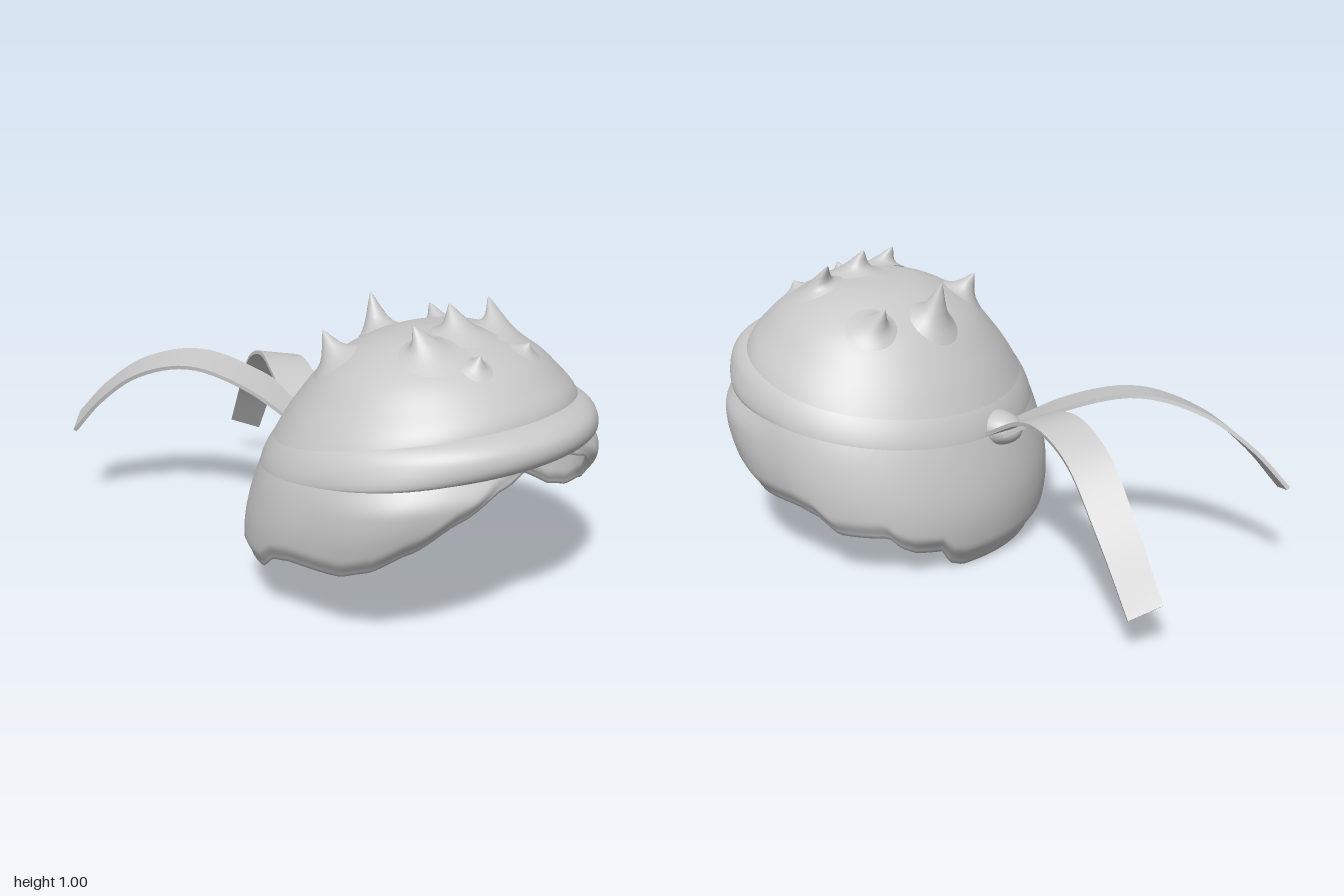
import * as THREE from 'three';
import { mergeVertices } from 'three/addons/utils/BufferGeometryUtils.js';

const V = (x, y, z) => new THREE.Vector3(x, y, z);
const smooth = (a, b, t) => THREE.MathUtils.smoothstep(t, a, b);
const fromBack = a => Math.PI - Math.abs(Math.PI - a);

// Smooth surface from rings: f(u, angle) -> Vector3, closed around the angle
function ringSurface(f, nu, nv) {
  const pos = [], idx = [];
  for (let i = 0; i <= nu; i++)
    for (let j = 0; j < nv; j++) pos.push(...f(i / nu, (j / nv) * Math.PI * 2).toArray());
  for (let i = 0; i < nu; i++)
    for (let j = 0; j < nv; j++) {
      const a = i * nv + j, b = i * nv + ((j + 1) % nv);
      idx.push(a, b, a + nv, b, b + nv, a + nv);
    }
  let g = new THREE.BufferGeometry();
  g.setAttribute('position', new THREE.Float32BufferAttribute(pos, 3));
  g.setIndex(idx);
  g = mergeVertices(g, 1e-5);
  g.computeVertexNormals();
  return g;
}

// Tilted dome sections, crown to nape: back z, back y, front z, front y, half width
const levels = [
  [0.47, 0.925, 0.47, 0.925, 0], [0.30, 0.89, 0.62, 0.915, 0.19],
  [0.15, 0.80, 0.77, 0.86, 0.345], [0.05, 0.68, 0.86, 0.79, 0.44],
  [-0.02, 0.56, 0.915, 0.715, 0.512], [-0.075, 0.43, 0.92, 0.595, 0.565],
  [-0.115, 0.30, 0.91, 0.48, 0.586], [-0.13, 0.20, 0.86, 0.36, 0.582],
  [-0.125, 0.10, 0.80, 0.25, 0.56], [-0.10, -0.02, 0.75, 0.15, 0.52],
];
const backLine = new THREE.CatmullRomCurve3(levels.map(l => V(l[4], l[1], l[0])), false, 'catmullrom');
const frontLine = new THREE.CatmullRomCurve3(levels.map(l => V(0, l[3], l[2])), false, 'catmullrom');

// Point on the dome at level s and angle a (0 = back, PI = front);
// the locks beside the face swell outwards below the band
function dome(s, a, k = 1, grow = 0) {
  const t = Math.min(1, s / (levels.length - 1));
  const b = backLine.getPoint(t), f = frontLine.getPoint(t);
  const c = Math.cos(a);
  const swell = 0.058 * smooth(4.4, 5.6, s) * smooth(1.65, 2.35, fromBack(a));
  return V((b.x * k + grow + swell) * Math.sin(a),
    (b.y + f.y) / 2 - ((f.y - b.y) / 2) * c,
    (b.z + f.z) / 2 - (((f.z - b.z) / 2) * k + grow + swell) * c);
}

// Height of the stepped hairline by angle
const hairline = [[0, 0.004], [0.41, 0.004], [0.52, 0.025], [0.59, 0.085], [0.77, 0.095],
  [0.87, 0.12], [0.96, 0.17], [1.32, 0.175], [1.47, 0.235], [1.62, 0.25], [2.02, 0.25],
  [2.18, 0.28], [2.39, 0.36], [2.59, 0.46], [2.8, 0.545], [3.0, 0.585], [3.15, 0.592]];
function hairlineY(angle) {
  const a = fromBack(angle);
  let i = 0;
  while (i < hairline.length - 2 && hairline[i + 1][0] < a) i++;
  const [p, q] = [hairline[i], hairline[i + 1]];
  return p[1] + (q[1] - p[1]) * smooth(p[0], q[0], a) * 0.5
    + (q[1] - p[1]) * 0.5 * Math.max(0, (a - p[0]) / (q[0] - p[0]));
}
function edgeLevel(a) {
  const y = hairlineY(a);
  let lo = 3, hi = 9;
  for (let i = 0; i < 24; i++) {
    const m = (lo + hi) / 2;
    if (dome(m, a).y > y) lo = m; else hi = m;
  }
  return lo;
}

// Ribbon: swept flat strip, tapering to a slanted end
function ribbon(points, sideSign) {
  const curve = new THREE.CatmullRomCurve3(points.map(p => V(...p)));
  const g = new THREE.BoxGeometry(1, 1, 1, 1, 1, 32);
  const p = g.attributes.position;
  for (let i = 0; i < p.count; i++) {
    const t = 0.5 - p.getZ(i);
    const c = curve.getPoint(t), d = curve.getTangent(t);
    const side = V(-d.z, 0, d.x).normalize();
    side.y = 0.4 * sideSign * t;
    side.z -= 0.35 * sideSign * t;
    const up = side.clone().cross(d).normalize();
    c.addScaledVector(side, p.getX(i) * (0.165 - 0.07 * t));
    c.addScaledVector(up, p.getY(i) * 0.014);
    p.setXYZ(i, c.x, c.y, c.z);
  }
  g.computeVertexNormals();
  return g;
}

// Spike: flared lathe standing on the dome at (s, a), sheared to end at the tip
const spikeProfile = [[1.25, -0.1], [1, 0.01], [0.75, 0.13], [0.52, 0.32], [0.33, 0.56], [0.15, 0.82], [0, 1]];
function spike(s, a, tip, r) {
  const base = dome(s, a), e = 0.01;
  const normal = dome(s, a + e).sub(base).cross(dome(s + e, a).sub(base)).normalize();
  const q = new THREE.Quaternion().setFromUnitVectors(V(0, 1, 0), normal);
  const d = V(...tip).sub(base).applyQuaternion(q.clone().invert());
  const g = new THREE.LatheGeometry(spikeProfile.map(([x, y]) => new THREE.Vector2(x * r, y * d.y)), 24);
  const lean = new THREE.Matrix4().set(1, d.x / d.y, 0, 0, 0, 1, 0, 0, 0, d.z / d.y, 1, 0, 0, 0, 0, 1);
  return g.applyMatrix4(lean).applyQuaternion(q).translate(base.x, base.y, base.z);
}

export function createModel() {
  const model = new THREE.Group();
  const grey = new THREE.MeshStandardMaterial({ color: 0xc8c8c8, side: THREE.DoubleSide });
  grey.name = 'plain grey';
  const add = (name, geometry) => {
    const m = new THREE.Mesh(geometry, grey);
    m.name = name;
    model.add(m);
    return m;
  };

  // Hair shell: outside down to the hairline, rolled under (more at the nape), then back up inside
  const edges = new Map();
  const level = a => {
    if (!edges.has(a)) edges.set(a, edgeLevel(a));
    return edges.get(a);
  };
  add('hairShell', ringSurface((u, a) => {
    const outer = u <= 0.5;
    const t = outer ? u * 2 : 2 - u * 2;
    const nape = 1 - smooth(0.5, 1.1, fromBack(a));
    const curl = 0.035 + 0.035 * nape, lip = 0.03 + 0.055 * nape;
    const k = outer ? 1 - curl * smooth(0.92, 1, t)
      : 0.955 - lip * smooth(0.7, 0.96, t) + (lip + 0.045 - curl) * smooth(0.94, 1, t);
    const p = dome(t * level(a), a, k);
    if (!outer) p.y -= 0.03 * (1 - t);
    return p;
  }, 128, 160));

  // Headband: padded ring, full over the forehead and nearly flush behind
  add('headband', ringSurface((u, a) => {
    const front = Math.pow((1 - Math.cos(a)) / 2, 5);
    const bulge = 0.004 + 0.076 * front;
    const puff = Math.pow(Math.sin(Math.PI * u), 0.6);
    return dome(3.95 + 1.08 * u, a, 1, -0.008 + (bulge + 0.008) * puff);
  }, 18, 128));

  // Spikes: dome level, angle, tip, base radius
  const spikes = [
    [0.78, Math.PI, [0, 1.005, 0.53], 0.088],
    [1.33, -2.36, [-0.19, 0.975, 0.55], 0.085],
    [1.33, 2.36, [0.195, 0.99, 0.53], 0.085],
    [1.9, -2.79, [-0.11, 0.905, 0.75], 0.045],
    [1.9, 2.72, [0.14, 0.89, 0.745], 0.045],
    [1.8, 0.17, [0.05, 0.96, 0.145], 0.08],
    [1.85, -0.92, [-0.26, 0.91, 0.23], 0.072],
    [1.85, 0.92, [0.255, 0.9, 0.23], 0.072],
  ];
  for (const [s, a, tip, r] of spikes) add('spike', spike(s, (a + Math.PI * 2) % (Math.PI * 2), tip, r));

  // Knot at the back, passing through to the inside
  const knot = add('knot', new THREE.SphereGeometry(1, 28, 20));
  knot.scale.set(0.074, 0.06, 0.098);
  knot.position.set(0, 0.46, -0.048);

  // Inner band ends meeting in a V around the knot, leaning with the wall
  for (const s of [-1, 1]) {
    const g = new THREE.BoxGeometry(0.33, 0.13, 0.008);
    const p = g.attributes.position;
    for (let i = 0; i < p.count; i++) {
      const x = p.getX(i) + s * 0.165, h = p.getY(i) + 0.065;
      const y = 0.39 + h + 0.19 * Math.abs(x);
      p.setXYZ(i, x, y, p.getZ(i) - 0.045 + 0.28 * Math.abs(x) + 0.4 * (y - 0.39));
    }
    g.computeVertexNormals();
    add('innerBandEnd', g);
  }

  // Two ribbon tails, arching up then falling
  add('rightRibbon', ribbon([[-0.01, 0.46, -0.09], [-0.09, 0.575, -0.29], [-0.18, 0.63, -0.5],
    [-0.265, 0.575, -0.7], [-0.33, 0.46, -0.85], [-0.38, 0.325, -0.965]], 1));
  add('leftRibbon', ribbon([[0.01, 0.46, -0.09], [0.09, 0.57, -0.28], [0.155, 0.59, -0.41],
    [0.22, 0.53, -0.55], [0.305, 0.36, -0.71], [0.375, 0.15, -0.86]], -1));
  return model;
}
